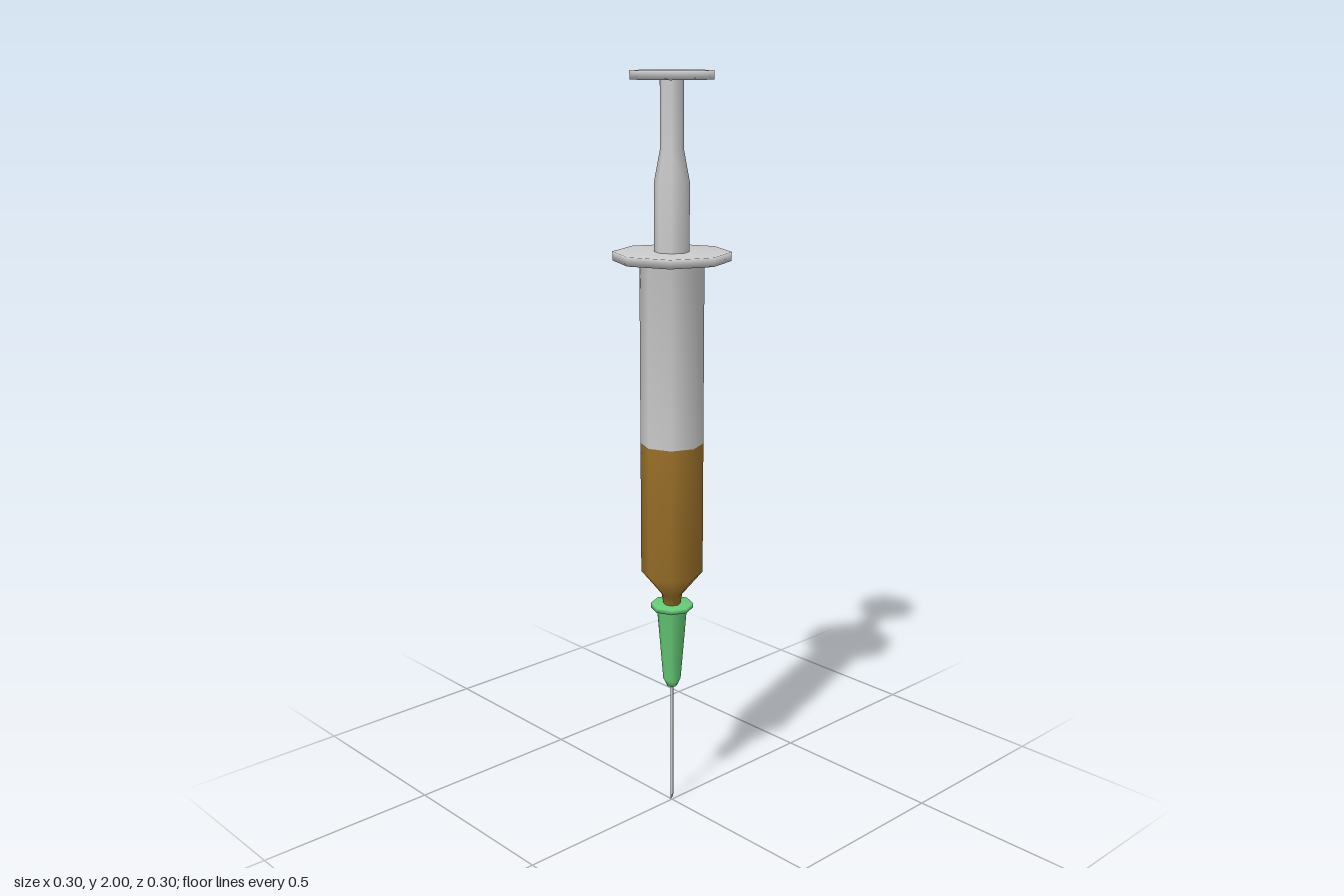
import * as THREE from 'three';

// Smooth-shaded octagonal lathe; profile runs bottom to top as [radius, y]
function turned(name, profile, color = 0xcccccc) {
  const points = profile.map(([r, y]) => new THREE.Vector2(r, y));
  const mesh = new THREE.Mesh(
    new THREE.LatheGeometry(points, 8),
    new THREE.MeshStandardMaterial({ color, side: THREE.DoubleSide })
  );
  mesh.name = name;
  return mesh;
}

// Thin needle with its lower end cut at a slant towards the back
function needle() {
  const top = 0.37, radius = 0.004;
  const geometry = new THREE.CylinderGeometry(radius, radius, top, 8);
  geometry.translate(0, top / 2, 0);
  const pos = geometry.attributes.position;
  for (let i = 0; i < pos.count; i++) {
    if (pos.getY(i) < 0.01) pos.setY(i, (pos.getZ(i) + radius) * 2.5);
  }
  geometry.computeVertexNormals();
  const mesh = new THREE.Mesh(geometry, new THREE.MeshStandardMaterial({ color: 0xcccccc }));
  mesh.name = 'needle';
  return mesh;
}

export function createModel() {
  const group = new THREE.Group();
  group.name = 'syringe';

  group.add(needle());

  // Green needle hub with a rim around its top
  group.add(turned('needleHub', [
    [0, 0.352], [0.014, 0.354], [0.024, 0.375], [0.041, 0.585],
    [0.057, 0.585], [0.057, 0.598], [0, 0.598],
  ], 0x66cc77));

  // Filled lower barrel, tapering to the nozzle
  group.add(turned('liquid', [
    [0.022, 0.59], [0.028, 0.625], [0.083, 0.69], [0.083, 1.05],
  ], 0x9a7028));

  // Empty upper barrel with the finger flange
  group.add(turned('barrel', [
    [0.083, 1.05], [0.083, 1.532], [0.152, 1.532], [0.152, 1.555], [0, 1.555],
  ]));

  // Plunger rod, narrowing below the thumb rest
  group.add(turned('plunger', [
    [0.045, 1.55], [0.045, 1.73], [0.03, 1.81], [0.03, 1.98],
  ]));
  group.add(turned('thumbRest', [
    [0, 1.978], [0.105, 1.978], [0.105, 2], [0, 2],
  ]));

  return group;
}
